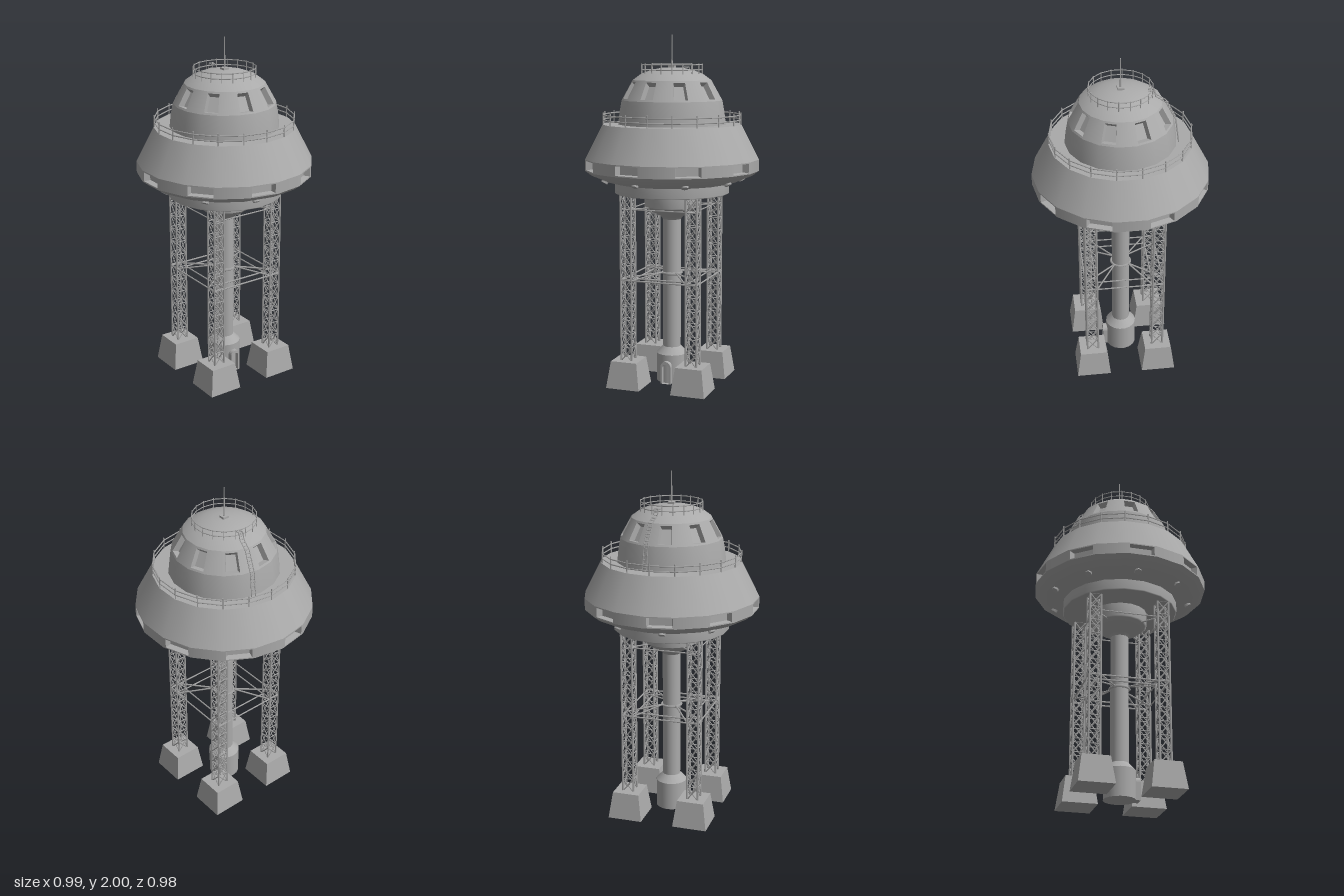
import * as THREE from 'three';
import { mergeGeometries } from 'three/addons/utils/BufferGeometryUtils.js';

const SIDES = 18;
const metal = new THREE.MeshStandardMaterial({ color: 0xaaaaaa });
metal.name = 'grey metal';

const rad = THREE.MathUtils.degToRad;
const V = (x, y, z) => new THREE.Vector3(x, y, z);
// Point on a circle; 0 degrees is +x and 90 degrees is the front (+z).
const polar = (r, y, deg) => V(r * Math.cos(rad(deg)), y, r * Math.sin(rad(deg)));

function add(parent, name, geometry) {
  const mesh = new THREE.Mesh(geometry, metal);
  mesh.name = name;
  parent.add(mesh);
  return mesh;
}

// Round body made of smooth sections, with a crease between sections.
function turned(sections) {
  return mergeGeometries(sections.map((s) => new THREE.LatheGeometry(
    s.map(([r, y]) => new THREE.Vector2(r, y)), SIDES, Math.PI / 2)));
}

// Straight bar between two points.
function bar(a, b, r = 0.004, sides = 4) {
  const d = b.clone().sub(a);
  const g = new THREE.CylinderGeometry(r, r, d.length(), sides);
  g.applyQuaternion(new THREE.Quaternion().setFromUnitVectors(V(0, 1, 0), d.normalize()));
  return g.translate((a.x + b.x) / 2, (a.y + b.y) / 2, (a.z + b.z) / 2);
}

function ring(radius, y, tube) {
  return new THREE.TorusGeometry(radius, tube, 4, SIDES).rotateX(Math.PI / 2).translate(0, y, 0);
}

// Band of wall panels; every second panel has a recessed window.
function windowBand([r0, y0], [r1, y1], u, v, depth, shrink) {
  const pos = [], nor = [];
  const slope = Math.atan2(r0 - r1, y1 - y0);
  const radial = (p) => {
    const a = Math.atan2(p.z, p.x), c = Math.cos(slope);
    return V(c * Math.cos(a), Math.sin(slope), c * Math.sin(a));
  };
  const quad = (q, smooth) => {
    const flat = q[1].clone().sub(q[0]).cross(q[2].clone().sub(q[0])).normalize();
    for (const i of [0, 1, 2, 0, 2, 3]) {
      pos.push(...q[i].toArray());
      nor.push(...(smooth ? radial(q[i]) : flat).toArray());
    }
  };
  for (let k = 0; k < SIDES; k++) {
    const mid = 90 + k * 20;
    const o = [polar(r0, y0, mid + 10), polar(r0, y0, mid - 10),
      polar(r1, y1, mid - 10), polar(r1, y1, mid + 10)];
    if (k % 2) { quad(o, true); continue; }
    const at = (s, t) => o[0].clone().lerp(o[1], s).lerp(o[3].clone().lerp(o[2], s), t);
    const hole = [at(u, v), at(1 - u, v), at(1 - u, 1 - v), at(u, 1 - v)];
    const centre = at(0.5, 0.5), inward = radial(centre).multiplyScalar(-depth);
    const inner = hole.map((p) => p.clone().lerp(centre, shrink).add(inward));
    for (let i = 0; i < 4; i++) {
      const j = (i + 1) % 4;
      quad([o[i], o[j], hole[j], hole[i]], true);
      quad([hole[i], hole[j], inner[j], inner[i]], false);
    }
    quad(inner, false);
  }
  const g = new THREE.BufferGeometry();
  g.setAttribute('position', new THREE.Float32BufferAttribute(pos, 3));
  g.setAttribute('normal', new THREE.Float32BufferAttribute(nor, 3));
  return g;
}

function railing(radius, y0, y1, rails, tube) {
  const parts = rails.map((y) => ring(radius, y, tube));
  for (let k = 0; k < SIDES; k++) {
    parts.push(bar(polar(radius, y0, k * 20), polar(radius, y1, k * 20), tube));
  }
  return mergeGeometries(parts);
}

// Square lattice mast with crossed braces.
function lattice(cx, cz) {
  const h = 0.032, y0 = 0.15, y1 = 1.108, cells = 12, step = (y1 - y0) / cells;
  const corners = [[-h, -h], [h, -h], [h, h], [-h, h]].map(([x, z]) => [cx + x, cz + z]);
  const parts = [];
  corners.forEach(([x, z], i) => {
    const [nx, nz] = corners[(i + 1) % 4];
    parts.push(bar(V(x, y0, z), V(x, y1, z), 0.006));
    for (let c = 0; c < cells; c++) {
      const a = y0 + c * step, b = a + step;
      parts.push(bar(V(x, a, z), V(nx, b, nz), 0.0033), bar(V(nx, a, nz), V(x, b, z), 0.0033),
        bar(V(x, b, z), V(nx, b, nz), 0.0033));
    }
  });
  return mergeGeometries(parts);
}

// Tapered concrete foot.
function footing(cx, cz) {
  const g = new THREE.CylinderGeometry(0.078 * Math.SQRT2, 0.1 * Math.SQRT2, 0.155, 4, 1).toNonIndexed();
  g.rotateY(Math.PI / 4).computeVertexNormals();
  return g.translate(cx, 0.0775, cz);
}

function archPath(path, w, h) {
  path.moveTo(-w, 0);
  path.lineTo(w, 0);
  path.lineTo(w, h - w);
  path.absarc(0, h - w, w, 0, Math.PI, false);
  path.lineTo(-w, 0);
  return path;
}

export function createModel() {
  const model = new THREE.Group();
  model.name = 'tower';

  // Central column with flared foot and bowl-shaped head
  add(model, 'column', turned([
    [[0, 0], [0.09, 0]],
    [[0.09, 0], [0.09, 0.165]],
    [[0.09, 0.165], [0.052, 0.205]],
    [[0.052, 0.205], [0.052, 0.955]],
    [[0.052, 0.955], [0.065, 0.972], [0.115, 0.998], [0.145, 1.025]],
    [[0.145, 1.025], [0.157, 1.03], [0.157, 1.107]],
  ]));

  // Arched door porch on the left side
  const porch = archPath(new THREE.Shape(), 0.03, 0.132);
  porch.holes.push(archPath(new THREE.Path(), 0.02, 0.115));
  add(model, 'doorFrame', new THREE.ExtrudeGeometry(porch,
    { depth: 0.06, bevelEnabled: false, curveSegments: 6 }).rotateY(Math.PI / 2).translate(0.052, 0, 0));

  // Four masts on footings
  const m = 0.195;
  const corners = [[-m, -m], [m, -m], [m, m], [-m, m]];
  corners.forEach(([x, z]) => {
    add(model, 'mast', lattice(x, z));
    add(model, 'footing', footing(x, z));
  });

  // Horizontal braces between the masts and in to the column
  const braces = [ring(0.056, 0.64, 0.008)];
  corners.forEach(([x, z], i) => {
    const [nx, nz] = corners[(i + 1) % 4];
    for (const s of [0.84, 1.16]) {
      braces.push(bar(V(x * s, 0.622, z * s), V(nx * s, 0.622, nz * s), 0.005));
    }
    braces.push(bar(V(x, 1.025, z), V(nx, 1.025, nz), 0.004));
    for (const [dx, dz] of [[0.032, -0.032], [-0.032, 0.032]]) {
      const t = Math.sign(x * z);
      braces.push(bar(V(x + dx, 0.622, z + dz * t), V(x * 0.2, 0.645, z * 0.2), 0.005));
    }
    braces.push(bar(V(x, 1.025, z), V(x * 0.45, 1.025, z * 0.45), 0.005));
  });
  add(model, 'braces', mergeGeometries(braces));

  // Saucer with a ring of windows
  add(model, 'saucer', turned([
    [[0, 1.107], [0.325, 1.107]],
    [[0.325, 1.107], [0.33, 1.112], [0.33, 1.168]],
    [[0.33, 1.168], [0.4, 1.187], [0.46, 1.212], [0.497, 1.24]],
    [[0.497, 1.305], [0.397, 1.5]],
    [[0.397, 1.5], [0.29, 1.5]],
  ]));
  add(model, 'saucerWindows', windowBand([0.497, 1.24], [0.497, 1.305], 0.09, 0.1, 0.035, 0.12));

  // Knobs under the saucer
  const knobs = [];
  for (let k = 0; k < 9; k++) {
    const a = 90 + k * 40;
    knobs.push(bar(polar(0.385, 1.21, a), polar(0.404, 1.178, a), 0.02, 6));
  }
  add(model, 'knobs', mergeGeometries(knobs));

  // Dome with a ring of windows
  add(model, 'dome', turned([
    [[0.308, 1.5], [0.3, 1.57], [0.288, 1.635]],
    [[0.225, 1.748], [0.178, 1.782], [0.12, 1.804], [0.06, 1.816], [0, 1.82]],
  ]));
  add(model, 'domeWindows', windowBand([0.288, 1.635], [0.225, 1.748], 0.1, 0.09, 0.03, 0.2));

  // Railings
  add(model, 'deckRailing', railing(0.392, 1.5, 1.568, [1.525, 1.553], 0.004));
  add(model, 'roofRailing', railing(0.174, 1.782, 1.84, [1.805, 1.834], 0.003));

  // Ladder over the dome, on the right side
  const path = [[0.318, 1.5], [0.298, 1.645], [0.243, 1.75], [0.188, 1.785], [0.178, 1.818], [0.145, 1.815]];
  const side = polar(0.012, 0, 280);
  const ladder = [];
  for (let i = 0; i + 1 < path.length; i++) {
    const a = polar(...path[i], 190), b = polar(...path[i + 1], 190);
    for (const s of [-1, 1]) {
      const off = side.clone().multiplyScalar(s);
      ladder.push(bar(a.clone().add(off), b.clone().add(off), 0.003));
    }
    const n = Math.max(1, Math.round(a.distanceTo(b) / 0.02));
    for (let j = 0; j < n; j++) {
      const p = a.clone().lerp(b, j / n);
      ladder.push(bar(p.clone().sub(side), p.clone().add(side), 0.0025));
    }
  }
  add(model, 'ladder', mergeGeometries(ladder));

  // Antenna
  add(model, 'antennaBase', new THREE.BoxGeometry(0.036, 0.014, 0.036).translate(0, 1.823, 0));
  add(model, 'antenna', new THREE.CylinderGeometry(0.0025, 0.005, 0.175, 6).translate(0, 1.9125, 0));

  return model;
}
